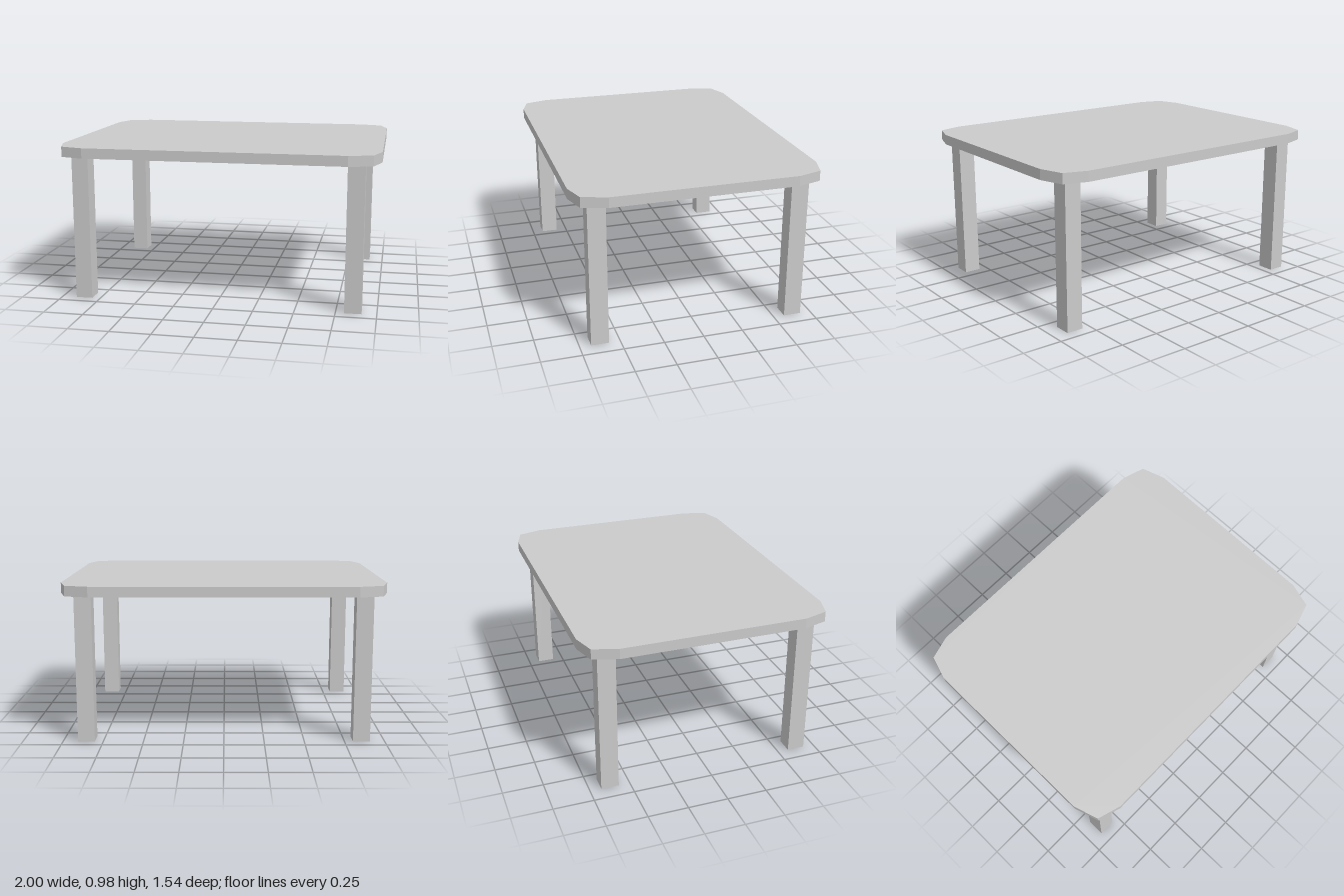
import * as THREE from 'three';

const HEIGHT = 0.98;
const LEG_HEIGHT = 0.916;

export function createModel() {
  const table = new THREE.Group();
  table.name = 'table';
  const material = new THREE.MeshStandardMaterial({ color: 0xcccccc, flatShading: true });

  // Table top: rectangle with each corner cut by two facets
  const corner = [[1, 0.573], [0.953, 0.725], [0.808, 0.769]];
  const outline = [];
  for (const [sx, sz] of [[1, 1], [-1, 1], [-1, -1], [1, -1]]) {
    const points = corner.map(([x, z]) => new THREE.Vector2(x * sx, z * sz));
    outline.push(...(sx * sz > 0 ? points : points.reverse()));
  }
  const topGeometry = new THREE.ExtrudeGeometry(new THREE.Shape(outline), {
    depth: HEIGHT - LEG_HEIGHT,
    bevelEnabled: false,
  });
  topGeometry.rotateX(-Math.PI / 2);
  const top = new THREE.Mesh(topGeometry, material);
  top.name = 'tableTop';
  top.position.y = LEG_HEIGHT;
  table.add(top);

  // Four straight legs, mirrored in x and z
  const legGeometry = new THREE.BoxGeometry(0.105, LEG_HEIGHT, 0.11);
  for (const sx of [-1, 1]) {
    for (const sz of [-1, 1]) {
      const leg = new THREE.Mesh(legGeometry, material);
      leg.name = (sz > 0 ? 'front' : 'back') + (sx > 0 ? 'Left' : 'Right') + 'Leg';
      leg.position.set(sx * 0.855, LEG_HEIGHT / 2, sz * 0.625);
      table.add(leg);
    }
  }
  return table;
}
